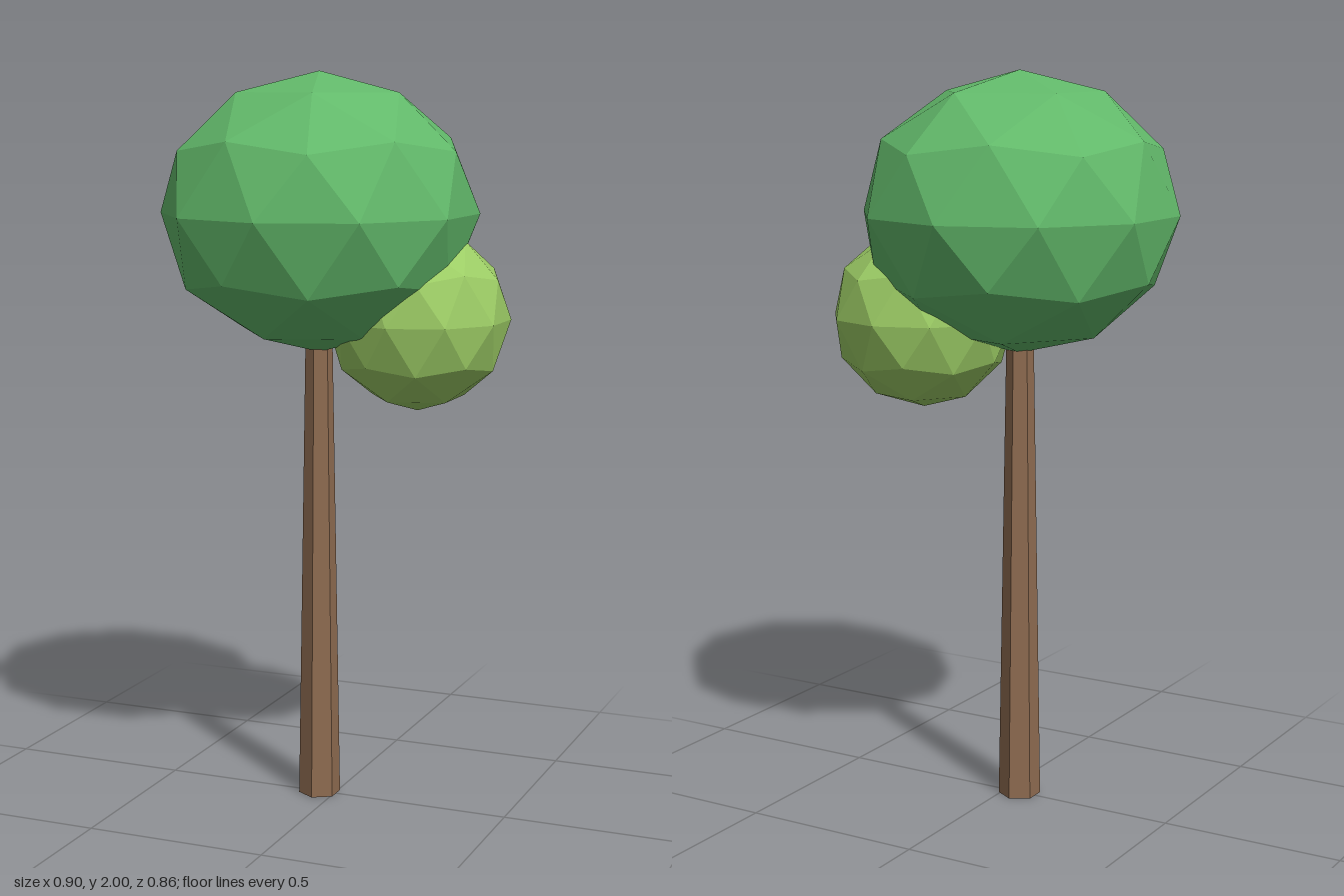
import * as THREE from 'three';

function flat(name, color) {
  const m = new THREE.MeshStandardMaterial({ color, flatShading: true });
  m.name = name;
  return m;
}

// Faceted ball with a corner of the icosahedron pointing straight up
function foliage(name, material, radius, height, x, y, z) {
  const geometry = new THREE.IcosahedronGeometry(radius, 1);
  geometry.rotateZ(-Math.atan(2 / (1 + Math.sqrt(5))));
  geometry.scale(1, height / radius, 1);
  const mesh = new THREE.Mesh(geometry, material);
  mesh.name = name;
  mesh.position.set(x, y, z);
  return mesh;
}

export function createModel() {
  const tree = new THREE.Group();
  tree.name = 'tree';

  const bark = flat('bark brown', 0x8f6c51);
  const leaf = flat('leaf green', 0x62b96a);
  const lime = flat('light leaf green', 0x9ccc65);

  // Six-sided tapered trunk, its top hidden in the crown
  const trunkHeight = 1.4;
  const trunk = new THREE.Mesh(new THREE.CylinderGeometry(0.035, 0.058, trunkHeight, 6), bark);
  trunk.name = 'trunk';
  trunk.position.set(-0.045, trunkHeight / 2, 0);
  tree.add(trunk);

  // Slightly squashed main crown and a small round side crown
  tree.add(foliage('mainCrown', leaf, 0.43, 0.375, -0.043, 1.625, 0));
  tree.add(foliage('sideCrown', lime, 0.25, 0.25, 0.212, 1.343, -0.078));

  return tree;
}
